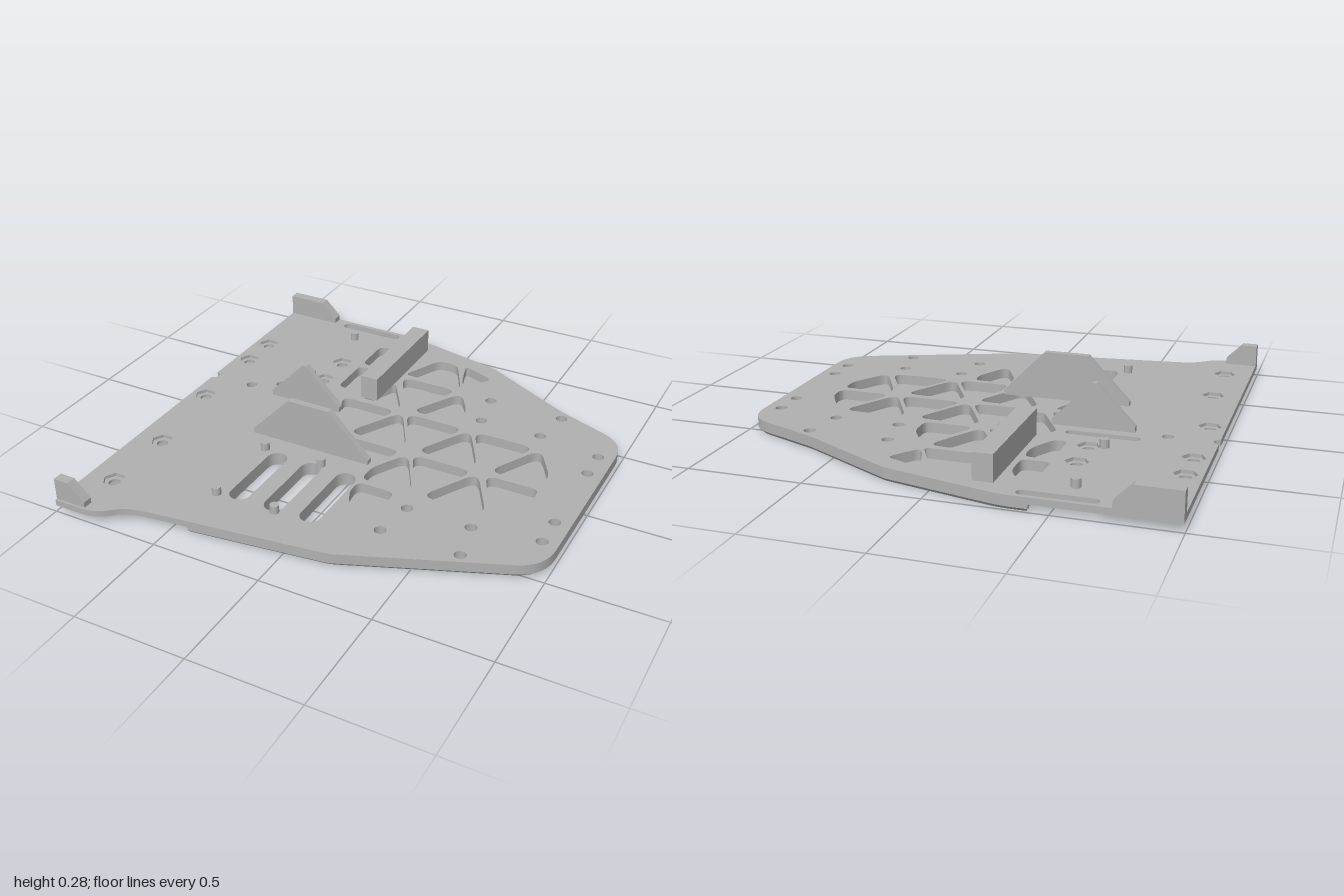
import * as THREE from 'three';
import { toCreasedNormals } from 'three/addons/utils/BufferGeometryUtils.js';

const V = (x, y) => new THREE.Vector2(x, y);

// Polygon with rounded corners; a third number on a point overrides the corner cut.
function rounded(points, cut) {
  const out = [], n = points.length;
  points.forEach((p, i) => {
    const c = V(p[0], p[1]), a = V(...points[(i + n - 1) % n].slice(0, 2)), b = V(...points[(i + 1) % n].slice(0, 2));
    const r = p[2] ?? cut;
    if (!r) return out.push(c);
    const before = c.clone().lerp(a, Math.min(0.48, r / c.distanceTo(a)));
    const after = c.clone().lerp(b, Math.min(0.48, r / c.distanceTo(b)));
    out.push(...new THREE.QuadraticBezierCurve(before, c, after).getPoints(6));
  });
  return out;
}

function arc(x, z, r, from, to, steps) {
  return Array.from({ length: steps + 1 }, (_, i) => {
    const t = from + (to - from) * i / steps;
    return V(x + r * Math.cos(t), z + r * Math.sin(t));
  });
}
const circle = (r, sides) => ([x, z]) => arc(x, z, r, 0, Math.PI * 2 * (sides - 1) / sides, sides - 1);

// Slot with round ends between two x and two z limits.
function slot([x0, x1, z0, z1]) {
  const h = Math.PI / 2;
  if (x1 - x0 > z1 - z0) {
    const r = (z1 - z0) / 2, z = z0 + r;
    return [...arc(x1 - r, z, r, -h, h, 10), ...arc(x0 + r, z, r, h, 3 * h, 10)];
  }
  const r = (x1 - x0) / 2, x = x0 + r;
  return [...arc(x, z1 - r, r, 0, 2 * h, 10), ...arc(x, z0 + r, r, 2 * h, 4 * h, 10)];
}

// Horizontal slab between two heights, cut by holes.
function slab(outline, holes, y0, y1) {
  const shape = new THREE.Shape(outline);
  shape.holes = holes.map(h => new THREE.Path(h));
  const g = new THREE.ExtrudeGeometry(shape, { depth: y1 - y0, bevelEnabled: false });
  return g.rotateX(Math.PI / 2).translate(0, y1, 0);
}

export function createModel() {
  const group = new THREE.Group();
  const grey = new THREE.MeshStandardMaterial({ color: 0xb0b0b0 });
  grey.name = 'plate grey';
  const add = (name, geometry) => {
    const mesh = new THREE.Mesh(toCreasedNormals(geometry, 0.6), grey);
    mesh.name = name;
    group.add(mesh);
    return mesh;
  };

  // Outlines: whole plate, and the thicker part of it
  const seam = -0.42, left = -0.995;
  const nose = [[-0.31, -1, 0.06], [0.2, -0.885, 0.02], [0.64, -0.65, 0.06], [0.99, -0.514, 0.12],
    [0.99, 0.478, 0.12], [0.2, 0.795, 0.03]];
  const upper = [
    ...rounded([[left, -1], ...nose, [-0.7, 0.907, 0.09], [-0.79, 1, 0.08], [left, 1]], 0),
    ...arc(left, -0.197, 0.025, Math.PI / 2, -Math.PI / 2, 10),
  ];
  const notch = z => arc(-0.383, z, 0.023, Math.PI / 2, -Math.PI / 2, 10);
  const notchAt = z => [V(seam, z + 0.023), ...notch(z), V(seam, z - 0.023)];
  const lower = [...rounded([[seam, -1], ...nose, [seam, 0.872]], 0), ...notchAt(-0.268), ...notchAt(-0.957)];

  // Through slots
  const sideSlots = [[-0.68, -0.36, -0.98, -0.934], [-0.68, -0.36, -0.291, -0.245]].map(slot);
  const longSlots = [-0.333, -0.162, 0.01].map(x => slot([x - 0.046, x + 0.046, 0.26, 0.65]));

  // Screw holes and hexagonal nut recesses
  const screws = [[0.31, -0.59], [0.34, -0.405], [0.63, -0.405], [0.665, -0.59], [0.92, -0.36], [0.92, -0.215],
    [0.92, 0.185], [0.92, 0.33], [0.34, 0.375], [0.63, 0.375], [0.31, 0.56], [0.665, 0.56]];
  const nuts = [[-0.925, -0.59], [-0.495, -0.59], [-0.925, -0.405], [-0.495, -0.405],
    [-0.925, -0.015], [-0.495, -0.015], [-0.87, 0.415], [-0.87, 0.765]];
  const screwHoles = screws.map(circle(0.026, 20));
  const pinHole = circle(0.025, 20)([-0.78, -0.197]);

  // Weight-saving pockets
  const triangle = (x, zBase, dir) => rounded([[x - 0.15, zBase], [x + 0.15, zBase], [x, zBase + dir * 0.268]], 0.07);
  const pockets = [
    ...[-0.19, 0.155, 0.5].map(x => triangle(x, -0.3, 1)),
    ...[-0.015, 0.33].map(x => triangle(x, -0.035, -1)),
    ...[-0.015, 0.33].map(x => triangle(x, 0, 1)),
    triangle(-0.015, -0.6, 1),
    triangle(0.5, 0.27, -1),
    ...[
      [[-0.4, -0.83], [-0.32, -0.83], [-0.28, -0.76], [-0.28, -0.63], [-0.4, -0.63]],
      [[-0.07, -0.83], [0.03, -0.83], [0.135, -0.63], [-0.165, -0.63]],
      [[0.07, -0.84], [0.235, -0.775], [0.145, -0.65], [0.115, -0.69]],
      [[-0.4, -0.6], [-0.28, -0.6], [-0.28, -0.5], [-0.345, -0.38], [-0.4, -0.38]],
      [[-0.165, -0.53], [-0.04, -0.333], [-0.25, -0.333]],
      [[0.16, -0.59, 0.07], [0.245, -0.45], [0.245, -0.335], [0.015, -0.335, 0.06]],
      [[0.675, -0.3, 0.07], [0.78, -0.12], [0.78, -0.035], [0.53, -0.035, 0.07]],
      [[0.53, 0, 0.07], [0.78, 0], [0.78, 0.09], [0.675, 0.265, 0.07]],
      [[0.165, 0.005, 0.07], [0.312, 0.27, 0.07], [0.07, 0.27], [0.07, 0.175]],
      [[0.07, 0.3], [0.245, 0.3], [0.245, 0.38], [0.16, 0.545, 0.06], [0.07, 0.38]],
      [[-0.4, -0.15], [-0.29, -0.15], [-0.235, -0.035], [-0.4, -0.035]],
      [[-0.4, 0], [-0.235, 0], [-0.29, 0.115], [-0.4, 0.115]],
    ].map(p => rounded(p, 0.035)),
  ];

  // Plate, in layers from the top down
  const through = [...screwHoles, ...longSlots];
  const common = [...through, ...sideSlots, pinHole, ...pockets];
  add('plateTop', slab(upper, [...common, ...nuts.map(circle(0.05, 6))], 0.045, 0.06));
  add('plateMiddle', slab(upper, [...common, ...nuts.map(circle(0.026, 20))], 0.032, 0.045));
  add('plateRibs', slab(lower, [...through, ...pockets], 0.014, 0.032));

  // Floor with chamfered rim and countersunk holes
  const floor = slab(lower, through, 0, 0.014), pos = floor.attributes.position;
  for (let i = 0; i < pos.count; i++) {
    if (pos.getY(i) > 0.007) continue;
    const x = pos.getX(i), z = pos.getZ(i);
    const hole = screws.find(([a, b]) => Math.hypot(x - a, z - b) < 0.028);
    const onRim = lower.some(p => Math.hypot(x - p.x, z - p.y) < 1e-4);
    const [cx, cz, s] = hole ? [...hole, 1.4] : [0.2, -0.05, onRim ? 0.984 : 1];
    pos.setXYZ(i, cx + (x - cx) * s, 0, cz + (z - cz) * s);
  }
  add('plateFloor', floor);

  // Upright gussets and corner tabs
  const upright = (name, profile, z0, z1) => {
    const shape = new THREE.Shape(profile.map(p => V(...p)));
    add(name, new THREE.ExtrudeGeometry(shape, { depth: z1 - z0, bevelEnabled: false }).translate(0, 0, z0));
  };
  const b = 0.06;
  upright('smallGusset', [[-0.64, b], [-0.28, b], [-0.28, 0.085], [-0.452, 0.26], [-0.47, 0.26], [-0.64, 0.085]], -0.195, -0.165);
  upright('largeGusset', [[-0.54, b], [0.045, b], [0.045, 0.08], [-0.147, 0.277], [-0.35, 0.277], [-0.54, 0.08]], 0.135, 0.165);
  upright('backTab', [[left, b], [-0.735, b], [-0.735, 0.085], [-0.81, 0.16], [left, 0.16]], -1, -0.953);
  upright('frontTab', [[left, b], [-0.85, b], [-0.85, 0.085], [-0.925, 0.16], [left, 0.16]], 0.945, 0.99);

  // Block and locating pegs
  add('block', new THREE.BoxGeometry(0.085, 0.115, 0.565).translate(-0.2125, 0.1175, -0.6225));
  for (const [x, z] of [[-0.42, 0.26], [-0.42, 0.65], [-0.135, 0.26], [-0.135, 0.65], [-0.56, -0.845], [-0.56, -0.4]]) {
    add('peg', new THREE.CylinderGeometry(0.02, 0.02, 0.065, 20).translate(x, 0.0645, z));
  }
  return group;
}
